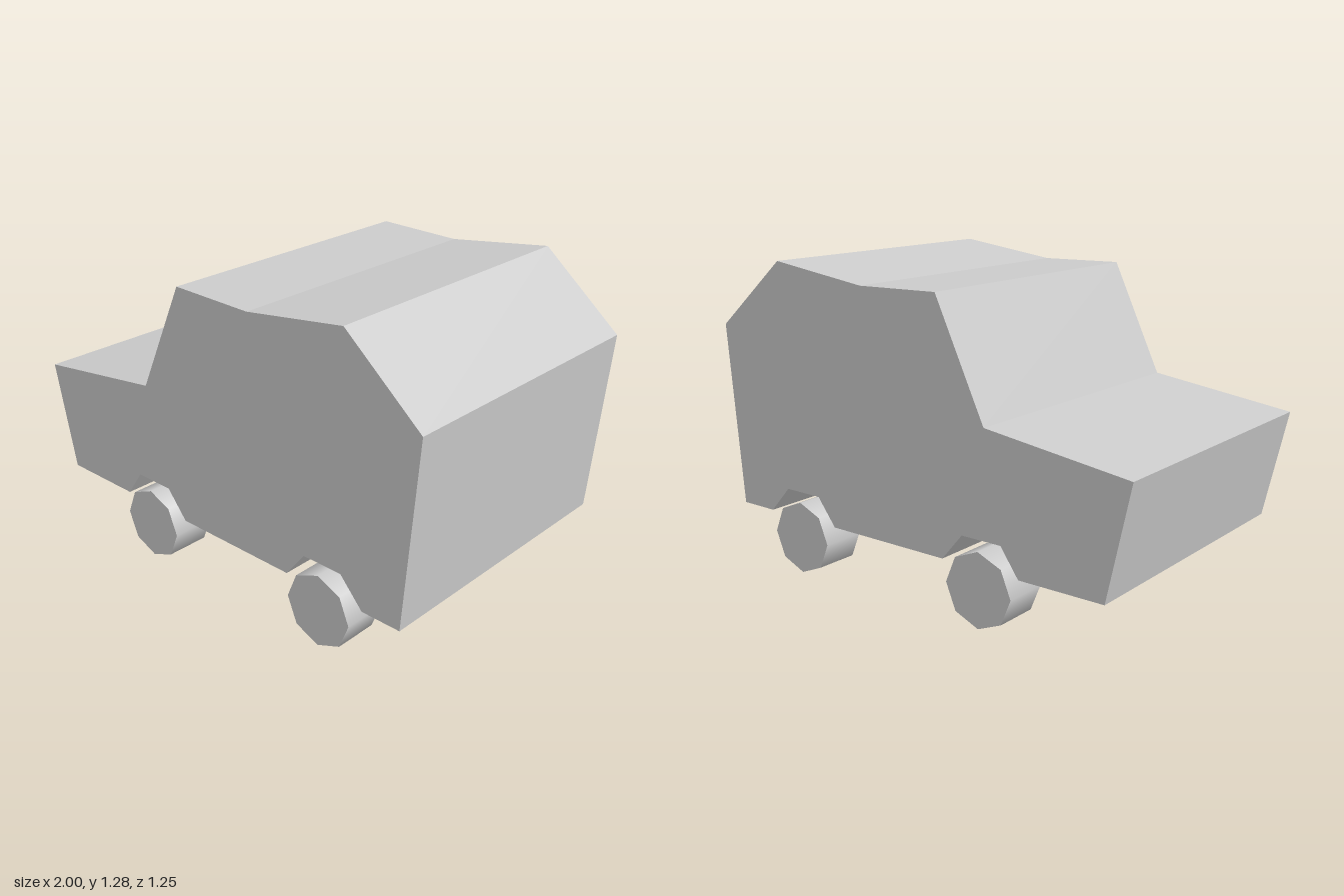
import * as THREE from 'three';

const HALF_WIDTH = 0.605;
const WHEEL = { radius: 0.151, inner: 0.443, outer: 0.626, xs: [-0.366, 0.566] };

// Side outline in x/y, starting at the lower nose and running along the underside
const OUTLINE = [
  [-0.9, 0.23], [-0.535, 0.23], [-0.455, 0.342], [-0.275, 0.342], [-0.18, 0.23], // front arch
  [0.39, 0.23], [0.478, 0.342], [0.658, 0.342], [0.76, 0.23], // rear arch
  [0.932, 0.23], [1, 1], [0.662, 1.286], [0.21, 1.224], // tail and roof
  [-0.16, 1.231], [-0.38, 0.767], [-1, 0.684], // windscreen and bonnet
];

export function createModel() {
  const group = new THREE.Group();
  group.name = 'car';
  const material = new THREE.MeshStandardMaterial({ color: 0xcccccc });

  // Body: one profile extruded across the full width
  const shape = new THREE.Shape(OUTLINE.map(([x, y]) => new THREE.Vector2(x, y)));
  const bodyGeometry = new THREE.ExtrudeGeometry(shape, { depth: HALF_WIDTH * 2, bevelEnabled: false });
  bodyGeometry.translate(0, 0, -HALF_WIDTH);
  const body = new THREE.Mesh(bodyGeometry, material);
  body.name = 'body';
  group.add(body);

  // Wheels: eight-sided drums with smooth treads and flat caps
  const wheelGeometry = new THREE.CylinderGeometry(
    WHEEL.radius, WHEEL.radius, WHEEL.outer - WHEEL.inner, 8);
  wheelGeometry.rotateX(Math.PI / 2);
  WHEEL.xs.forEach((x, i) => {
    for (const side of [-1, 1]) {
      const wheel = new THREE.Mesh(wheelGeometry, material);
      wheel.name = (i ? 'rear' : 'front') + 'Wheel' + (side > 0 ? 'Near' : 'Far');
      wheel.position.set(x, WHEEL.radius + 0.003, side * (WHEEL.inner + WHEEL.outer) / 2);
      group.add(wheel);
    }
  });

  return group;
}
